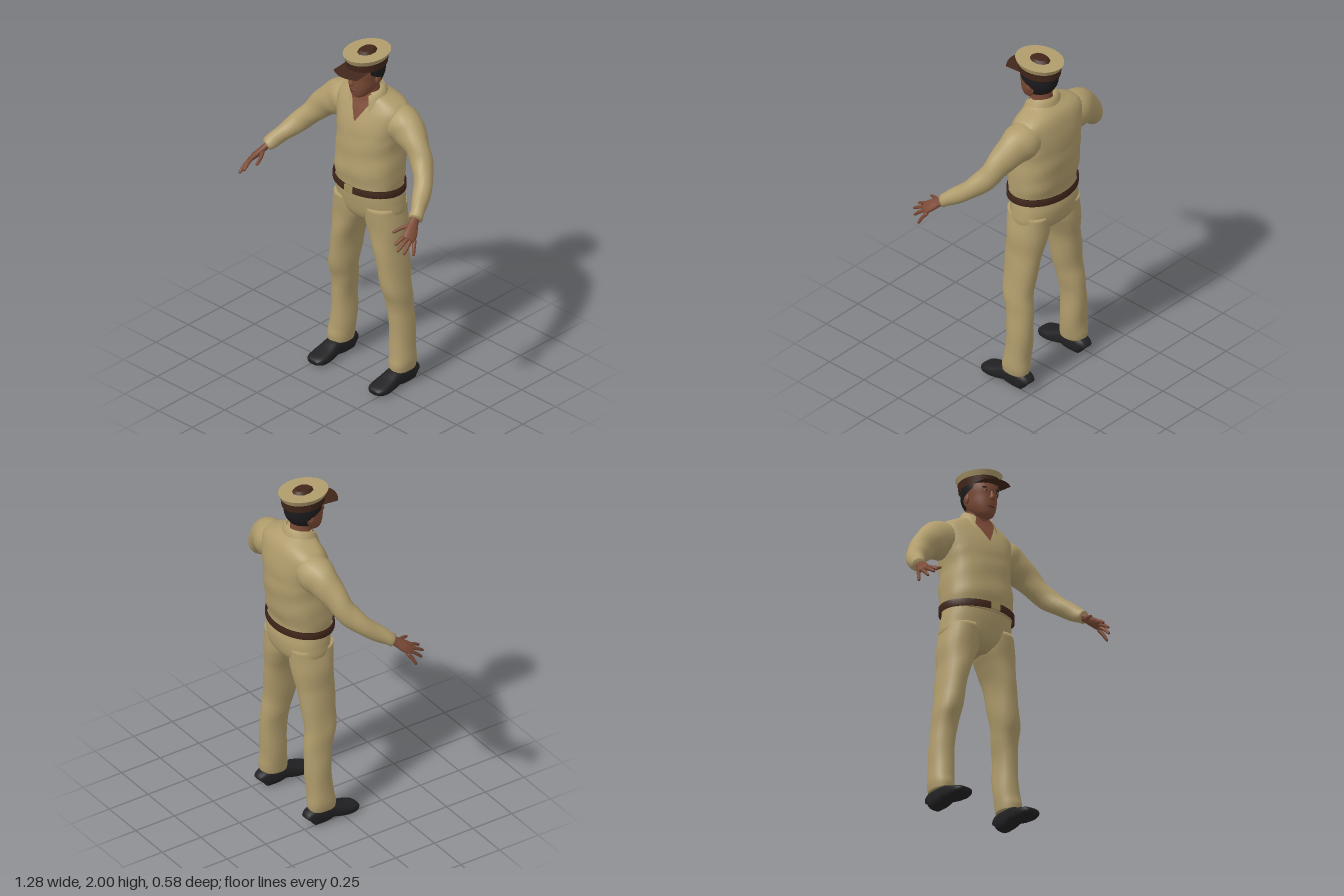
import * as THREE from 'three';

const mat = (name, color, side = THREE.FrontSide) => Object.assign(new THREE.MeshStandardMaterial({ color, side }), { name });
const V = (x, y, z) => new THREE.Vector3(x, y, z);
const spow = (s, n) => Math.sign(s) * Math.pow(Math.abs(s), 2 / n);

// Catmull-Rom refinement of a table of section values
function refine(rows, steps) {
  const out = [], last = rows.length - 1;
  for (let i = 0; i < last; i++) {
    const [a, b, c, d] = [Math.max(i - 1, 0), i, i + 1, Math.min(i + 2, last)].map(k => rows[k]);
    for (let s = 0; s < steps; s++) {
      const t = s / steps;
      out.push(b.map((_, k) => 0.5 * (2 * b[k] + (c[k] - a[k]) * t + (2 * a[k] - 5 * b[k] + 4 * c[k] - d[k]) * t * t
        + (3 * b[k] - a[k] - 3 * c[k] + d[k]) * t * t * t)));
    }
  }
  out.push(rows[last]);
  return out;
}

// Surface through rows of points; closed rows wrap round and get end caps
function skin(rows, closed = true) {
  const n = rows[0].length, pts = rows.flat(), idx = [], cols = closed ? n : n - 1;
  for (let j = 0; j < rows.length - 1; j++) for (let i = 0; i < cols; i++) {
    const a = j * n + i, b = j * n + (i + 1) % n;
    idx.push(a, b, b + n, a, b + n, a + n);
  }
  if (closed) [0, rows.length - 1].forEach((j, top) => {
    const c = pts.length;
    pts.push(rows[j].reduce((s, p) => s.add(p), V(0, 0, 0)).divideScalar(n));
    for (let i = 0; i < n; i++) {
      const a = j * n + i, b = j * n + (i + 1) % n;
      idx.push(...(top ? [c, a, b] : [c, b, a]));
    }
  });
  const g = new THREE.BufferGeometry().setFromPoints(pts);
  g.setIndex(idx);
  g.computeVertexNormals();
  return g;
}

// Upright body: rows of [y, centre x, half width, front z, back z]
function upright(rows, n = 2.3, fold = () => 0, sides = 32) {
  return skin(rows.map(([y, cx, rx, zf, zb]) => Array.from({ length: sides }, (_, i) => {
    const a = i / sides * Math.PI * 2, f = fold(a, y);
    return V(cx + (rx + f) * spow(Math.sin(a), n), y, (zf + zb) / 2 + ((zf - zb) / 2 + f) * spow(Math.cos(a), n));
  })));
}

// Limb along a path: rows of [x, y, z, half width, half height]
function limb(rows, ref, { n = 2, sides = 16, fold = () => 0 } = {}) {
  const c = rows.map(r => V(r[0], r[1], r[2]));
  return skin(rows.map((r, j) => {
    const d = c[Math.min(j + 1, c.length - 1)].clone().sub(c[Math.max(j - 1, 0)]).normalize();
    const u = d.clone().cross(ref).normalize(), v = u.clone().cross(d);
    return Array.from({ length: sides }, (_, i) => {
      const a = i / sides * Math.PI * 2, f = fold(a, j);
      return c[j].clone().addScaledVector(u, (r[3] + f) * spow(Math.sin(a), n)).addScaledVector(v, (r[4] + f) * spow(Math.cos(a), n));
    });
  }));
}

function mirror(geo) {
  const g = geo.clone().scale(-1, 1, 1), ix = g.index.array;
  for (let i = 0; i < ix.length; i += 3) [ix[i], ix[i + 1]] = [ix[i + 1], ix[i]];
  g.computeVertexNormals();
  return g;
}

const blob = (x, y, z, rx, ry, rz) => new THREE.SphereGeometry(1, 16, 10).scale(rx, ry, rz).translate(x, y, z);

export function createModel() {
  const group = new THREE.Group();
  const khaki = mat('khaki', 0xb09c6c, THREE.DoubleSide), skinTone = mat('skin', 0x7b4a36, THREE.DoubleSide);
  const leather = mat('brown leather', 0x41261a, THREE.DoubleSide), black = mat('shoe black', 0x212123);
  const hairMat = mat('hair black', 0x1b1b1d, THREE.DoubleSide), brass = mat('buckle', 0xa3925f);
  const lipMat = mat('lips', 0x623328), white = mat('eye white', 0x9a8274);
  const add = (name, geo, m) => { const o = new THREE.Mesh(geo, m); o.name = name; group.add(o); };
  const pair = (name, geo, m) => { add(name + 'Left', geo, m); add(name + 'Right', mirror(geo), m); };

  // Shirt
  const torso = refine([
    [1.165, 0, .193, .028, -.245], [1.21, 0, .197, .035, -.25], [1.28, 0, .204, .04, -.265], [1.4, 0, .196, .032, -.28],
    [1.5, 0, .2, .025, -.284], [1.58, 0, .215, .008, -.28], [1.65, 0, .228, -.02, -.265], [1.69, 0, .205, -.04, -.25],
    [1.715, 0, .16, -.05, -.232], [1.735, 0, .11, -.055, -.205], [1.755, 0, .08, -.06, -.17]], 4);
  add('shirtTorso', upright(torso, 2.5, (a, y) => y > 1.5 ? 0 : .004 * Math.sin(3 * a + 30 * y) * Math.sin(5 * a - 14 * y)), khaki);
  pair('sleeve', limb(refine([
    [.10, 1.60, -.15, .085, .085], [.2, 1.59, -.15, .1, .107], [.27, 1.56, -.14, .085, .1], [.345, 1.505, -.12, .066, .077],
    [.41, 1.43, -.09, .058, .064], [.47, 1.36, -.03, .052, .055], [.525, 1.29, .06, .042, .043],
    [.552, 1.252, .115, .037, .036]], 4), V(0, 1, 0), { sides: 20, fold: (a, j) => .0025 * Math.sin(2 * a + j * 1.1) }), khaki);

  // Open neckline, laid on the chest surface
  const chestZ = (x, y) => {
    const i = Math.max(1, torso.findIndex(r => r[0] >= y)), p = torso[i - 1], q = torso[i];
    const t = (y - p[0]) / (q[0] - p[0]), [, , rx, zf, zb] = p.map((v, k) => v + (q[k] - v) * t);
    return (zf + zb) / 2 + (zf - zb) / 2 * Math.pow(1 - Math.pow(Math.abs(x / rx), 2.5), 1 / 2.5);
  };
  add('neckline', skin(Array.from({ length: 15 }, (_, j) => {
    const y = 1.59 + j * .0114, w = .003 + Math.min(.066, j * .0066);
    return Array.from({ length: 9 }, (_, i) => { const x = (i / 4 - 1) * w; return V(x, y, chestZ(x, y) + .005); });
  }), false), skinTone);

  // Collar, folded over and dipping to points in front
  const collarRow = (rx, rz, yBack, yFront, zc) => Array.from({ length: 33 }, (_, i) => {
    const t = i / 16 - 1, a = Math.PI + t * 2.5, f = Math.pow(Math.abs(t), 3);
    return V(rx * Math.sin(a), yBack + (yFront - yBack) * f, zc + rz * Math.cos(a));
  });
  add('collar', skin([collarRow(.118, .1, 1.725, 1.655, -.105), collarRow(.1, .088, 1.755, 1.715, -.107),
    collarRow(.083, .074, 1.785, 1.74, -.108), collarRow(.076, .068, 1.765, 1.72, -.108)].map(r => r.reverse()), false), khaki);

  // Trousers
  const crease = (a, y) => .004 * Math.sin(2 * a + 22 * y) * Math.sin(a - 9 * y);
  add('trouserSeat', upright(refine([[.955, 0, .05, -.05, -.17], [.985, 0, .15, -.015, -.225], [1.03, 0, .212, .006, -.25],
    [1.1, 0, .21, .02, -.258], [1.15, 0, .202, .026, -.25], [1.19, 0, .194, .028, -.243]], 4), 2.3), khaki);
  pair('trouserLeg', upright(refine([
    [.09, .226, .06, -.045, -.2], [.13, .224, .066, -.043, -.206], [.2, .219, .068, -.058, -.207], [.4, .212, .062, -.06, -.215],
    [.5, .202, .067, -.045, -.207], [.6, .19, .072, -.02, -.202], [.8, .16, .075, -.004, -.22], [.9, .139, .093, 0, -.23],
    [.98, .117, .109, .002, -.238], [1.08, .11, .1, .012, -.24]], 4), 2.2, crease, 24), khaki);

  // Belt, standing clear of the waist
  const belt = [[.213, 1.166], [.223, 1.166], [.223, 1.205], [.213, 1.205], [.213, 1.166]].map(p => new THREE.Vector2(...p));
  add('belt', new THREE.LatheGeometry(belt, 48).scale(1, 1, .745).translate(0, 0, -.108), leather);
  add('beltBuckle', new THREE.BoxGeometry(.058, .042, .009).translate(.003, 1.185, .058), brass);

  // Shoes: [z, half width, bottom, top]
  const shoe = [[-.207, .034, .004, .075], [-.192, .046, 0, .1], [-.13, .05, 0, .11], [-.09, .049, .004, .108], [-.06, .05, .012, .1],
    [-.01, .057, .003, .078], [.04, .06, 0, .062], [.08, .052, .005, .05], [.1, .032, .012, .036]];
  pair('shoe', limb(refine(shoe.map(([z, w, b, t]) => [.226, (b + t) / 2, z, w, (t - b) / 2]), 3).map(r => { r[1] = Math.max(r[1], r[4]); return r; }),
    V(0, 1, 0), { n: 2.8, sides: 20 }), black);

  // Hands
  const across = V(.04, -.03, -.035), palmUp = across.clone().cross(V(.04, -.06, .1)).normalize();
  pair('palm', limb(refine([[.543, 1.262, .1, .025, .02], [.558, 1.235, .135, .028, .018], [.576, 1.208, .17, .036, .018],
    [.588, 1.188, .197, .037, .014], [.594, 1.18, .21, .03, .009]], 3), palmUp), skinTone);
  const fingers = {
    indexFinger: [[.572, 1.202, .2], [.567, 1.187, .24], [.559, 1.165, .275]],
    middleFinger: [[.584, 1.19, .2], [.588, 1.168, .245], [.586, 1.142, .284]],
    ringFinger: [[.596, 1.18, .192], [.605, 1.153, .228], [.608, 1.122, .26]],
    littleFinger: [[.605, 1.17, .175], [.621, 1.137, .197], [.632, 1.104, .212]],
    thumb: [[.552, 1.232, .14], [.522, 1.217, .19], [.506, 1.204, .234]]
  };
  for (const [name, [a, b, c]] of Object.entries(fingers)) {
    const tip = c.map((v, k) => v + (c[k] - b[k]) * .12);
    pair(name, limb(refine([[...a, .0115, .011], [...b, .0105, .01], [...c, .008, .0075], [...tip, .003, .003]], 3), V(0, 1, 0), { sides: 10 }), skinTone);
  }

  // Head and neck
  add('neck', upright(refine([[1.66, 0, .07, -.05, -.17], [1.72, 0, .064, -.048, -.165], [1.77, 0, .06, -.035, -.16],
    [1.82, 0, .062, -.03, -.16]], 3), 2), skinTone);
  const head = refine([[1.737, 0, .025, .002, -.05], [1.75, 0, .046, .014, -.09], [1.78, 0, .064, .022, -.135], [1.81, 0, .075, .025, -.165],
    [1.85, 0, .081, .026, -.182], [1.89, 0, .085, .03, -.187], [1.94, 0, .083, .024, -.183]], 4);
  add('head', upright(head, 2.1), skinTone);
  add('nose', limb(refine([[0, 1.88, .02, .007, .008], [0, 1.85, .028, .01, .012], [0, 1.832, .031, .017, .015],
    [0, 1.822, .027, .012, .008]], 3), V(0, 0, 1)), skinTone);
  add('lips', blob(0, 1.787, .02, .023, .007, .008), lipMat);
  pair('ear', blob(.084, 1.845, -.085, .011, .03, .019), skinTone);
  pair('eye', blob(.034, 1.874, .016, .013, .005, .007), white);
  pair('iris', blob(.034, 1.874, .02, .005, .005, .005), hairMat);
  pair('eyebrow', blob(.036, 1.891, .016, .02, .004, .009), hairMat);

  // Hair wraps the back of the head, with sideburns ahead of the ears
  add('hair', skin(head.filter(r => r[0] >= 1.8).map(([y, , rx, zf, zb]) => {
    const start = y < 1.84 ? 1.95 : Math.max(1.1, 1.95 - (y - 1.84) * 16);
    return Array.from({ length: 29 }, (_, i) => {
      const a = start + (2 * Math.PI - 2 * start) * i / 28, o = Math.min(.011, .003 + (y - 1.8) * .15);
      return V((rx + o) * Math.sin(a), y, (zf + zb) / 2 + ((zf - zb) / 2 + o) * Math.cos(a));
    });
  }), false), hairMat);

  // Peaked cap
  const lathe = (name, profile, m) => add(name, new THREE.LatheGeometry(profile.map(p => new THREE.Vector2(...p)), 48)
    .scale(1, 1, 1.235).translate(0, 0, -.087), m);
  lathe('capBand', [[.1, 1.912], [.105, 1.957]], leather);
  lathe('capSide', [[.105, 1.957], [.116, 1.986]], khaki);
  lathe('capTop', [[.116, 1.986], [0, 1.986]], khaki);
  add('capCrown', new THREE.CylinderGeometry(.034, .048, .016, 10).scale(1, 1, 1.35).translate(0, 1.992, -.09), leather);
  add('capVisor', skin([0, .5, 1].map(t => Array.from({ length: 17 }, (_, i) => {
    const u = i / 8 - 1, zi = -.087 + .124 * Math.sqrt(1 - .72 * u * u), zo = .113 - .033 * u * u;
    return V(.086 * u, 1.918 - .01 * t - .004 * u * u, zi + (zo - zi) * t);
  })).reverse(), false), leather);

  return group;
}
